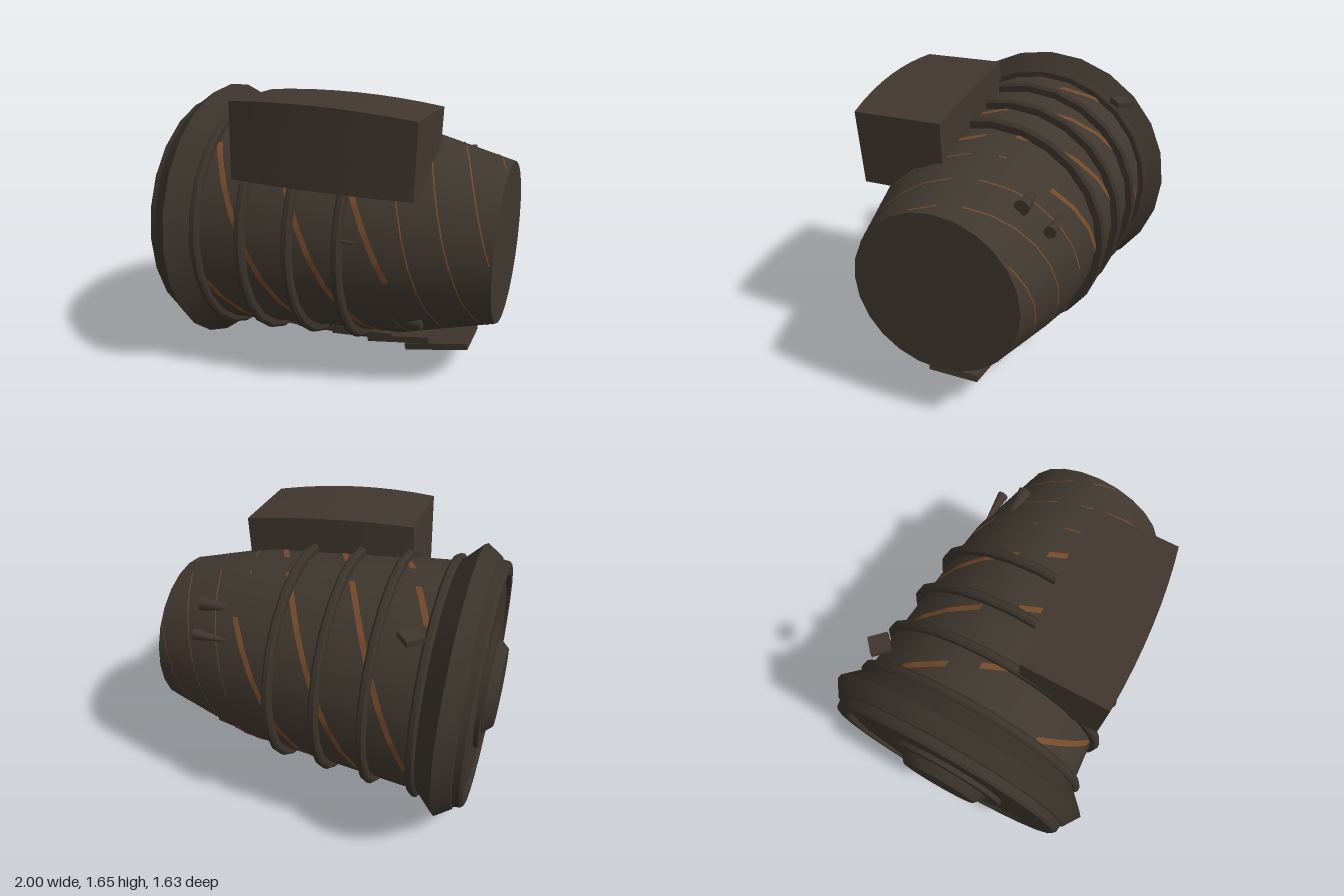
import * as THREE from 'three';
import { toCreasedNormals } from 'three/addons/utils/BufferGeometryUtils.js';

const AXIS_Y = 0.815;
const SIDES = 24;

export function createModel() {
  const model = new THREE.Group();
  const shell = new THREE.MeshStandardMaterial({ color: 0x40382f });
  shell.name = 'dark shell';
  const rim = new THREE.MeshStandardMaterial({ color: 0x3a332b });
  rim.name = 'dark rim';
  const plate = new THREE.MeshStandardMaterial({ color: 0x41372f });
  plate.name = 'brown plate';
  const rust = new THREE.MeshStandardMaterial({ color: 0x754a2a, side: THREE.DoubleSide });
  rust.name = 'rust stripe';

  const add = (name, geometry, material, x = 0, y = 0, z = 0) => {
    const mesh = new THREE.Mesh(geometry, material);
    mesh.name = name;
    mesh.position.set(x, y, z);
    model.add(mesh);
    return mesh;
  };

  // Turned parts: [x, radius] profile spun about the long axis
  const turned = (name, profile, material) => {
    const points = profile.map(([x, r]) => new THREE.Vector2(r, x));
    const geometry = new THREE.LatheGeometry(points, SIDES).rotateZ(-Math.PI / 2);
    return add(name, toCreasedNormals(geometry, 0.4), material, 0, AXIS_Y, 0);
  };

  const bodyProfile = [[-0.72, 0.695], [-0.6, 0.69], [0.47, 0.61], [1, 0.468]];
  turned('body', [[-0.72, 0], ...bodyProfile, [1, 0]], shell);
  turned('flange', [
    [-0.915, 0], [-0.915, 0.6], [-0.9, 0.615], [-0.9, 0.645], [-0.93, 0.66], [-0.93, 0.715],
    [-0.915, 0.73], [-0.875, 0.735], [-0.87, 0.75], [-0.775, 0.815], [-0.665, 0.71], [-0.665, 0],
  ], rim);
  turned('hubPlate', [[-0.942, 0], [-0.942, 0.375], [-0.91, 0.375]], rim);
  turned('hub', [[-1, 0], [-1, 0.235], [-0.945, 0.285], [-0.935, 0.285]], rim);

  // Raised hoops around the body
  [[-0.64, 0.735], [-0.36, 0.722], [-0.08, 0.702], [0.205, 0.682]].forEach(([x, r]) => {
    turned('hoop', [
      [x - 0.025, r - 0.07], [x - 0.025, r - 0.014], [x - 0.012, r],
      [x + 0.012, r], [x + 0.025, r - 0.014], [x + 0.025, r - 0.07],
    ], rim);
  });

  // Surface radius on the faceted body at a given x and angle
  const bodyRadius = (x, angle) => {
    let i = 1;
    while (i < bodyProfile.length - 1 && x > bodyProfile[i][0]) i++;
    const [[x0, r0], [x1, r1]] = [bodyProfile[i - 1], bodyProfile[i]];
    const r = r0 + (r1 - r0) * (x - x0) / (x1 - x0);
    const step = Math.PI * 2 / SIDES;
    const local = ((angle % step) + step) % step - step / 2;
    return r * Math.cos(step / 2) / Math.cos(local);
  };

  // Spiral stripes, as thin ribbons lying on the body
  const stripe = (name, from, to, startDeg, degPerUnit, width) => {
    const steps = 90, positions = [], indices = [];
    const turn = (x) => startDeg - (x - from) * degPerUnit;
    for (let i = 0; i <= steps; i++) {
      const x = from + (to - from) * i / steps;
      const angle = THREE.MathUtils.degToRad(turn(x));
      [x - width / 2, x + width / 2].forEach((px) => {
        const r = bodyRadius(px, angle) + 0.004;
        positions.push(px, r * Math.sin(angle), r * Math.cos(angle));
      });
      const deg = ((turn(x) % 360) + 360) % 360;
      if (i < steps && !(deg > 91 && deg < 105)) {
        const a = i * 2;
        indices.push(a, a + 2, a + 1, a + 1, a + 2, a + 3);
      }
    }
    const geometry = new THREE.BufferGeometry();
    geometry.setAttribute('position', new THREE.Float32BufferAttribute(positions, 3));
    geometry.setIndex(indices);
    geometry.computeVertexNormals();
    add(name, geometry, rust, 0, AXIS_Y, 0);
  };
  for (let i = 0; i < 5; i++) {
    stripe('spiralStripe', -0.61, 0.47, 52 + i * 72, 190, 0.036);
    stripe('thinSpiralStripe', 0.48, 0.985, 36 + i * 72, 350, 0.008);
  }

  // Bulged side box: a unit box reshaped along its length
  const box = new THREE.BoxGeometry(1, 1, 1, 8, 1, 1);
  const p = box.attributes.position;
  for (let i = 0; i < p.count; i++) {
    const u = p.getX(i) + 0.5, top = p.getY(i) > 0, outer = p.getZ(i) > 0;
    const y = top ? 1.645 + 0.055 * u - 0.11 * u * u : 1.22 - 0.04 * u;
    const z = outer ? 0.695 + 0.05 * u - 0.125 * u * u - (top ? 0 : 0.015) : 0.2 - 0.14 * u + 0.06 * u * u;
    p.setXYZ(i, -0.385 + u + (top ? 0.012 : -0.005), y, z);
  }
  add('sideBox', toCreasedNormals(box, 0.5), plate);

  // Overlapping planks under the body: [x start, x end, y start, y end]
  [
    [-0.5, -0.18, 0.145, 0.14], [-0.27, 0.06, 0.135, 0.145], [-0.03, 0.37, 0.13, 0.16],
    [0.21, 0.6, 0.12, 0.18], [0.455, 0.835, 0.11, 0.186],
  ].forEach(([x0, x1, y0, y1]) => {
    const length = Math.hypot(x1 - x0, y1 - y0);
    const plank = add('plank', new THREE.BoxGeometry(length, 0.04, 0.3), plate,
      (x0 + x1) / 2, (y0 + y1) / 2, 0);
    plank.rotation.z = Math.atan2(y1 - y0, x1 - x0);
  });

  // Half-sunk spikes: [tip x, base x, y, z, radius]
  [
    [0.49, 0.63, 0.425, 0.42, 0.036],
    [0.43, 0.72, 1.25, -0.36, 0.042],
    [0.5, 0.7, 1.13, -0.505, 0.034],
  ].forEach(([x0, x1, y, z, r]) => {
    const cone = new THREE.CylinderGeometry(0.008, r, x1 - x0, 12).rotateZ(Math.PI / 2);
    add('spike', toCreasedNormals(cone, 0.7), plate, (x0 + x1) / 2, y, z);
  });

  // Small tab on the front and loose tile at the upper back
  add('tab', new THREE.BoxGeometry(0.07, 0.01, 0.04), rim, 0.265, 0.93, 0.622);
  const tile = add('tile', new THREE.BoxGeometry(0.105, 0.035, 0.11), plate, -0.565, 1.415, -0.545);
  tile.rotation.set(-0.08, 0.75, 0);

  return model;
}
